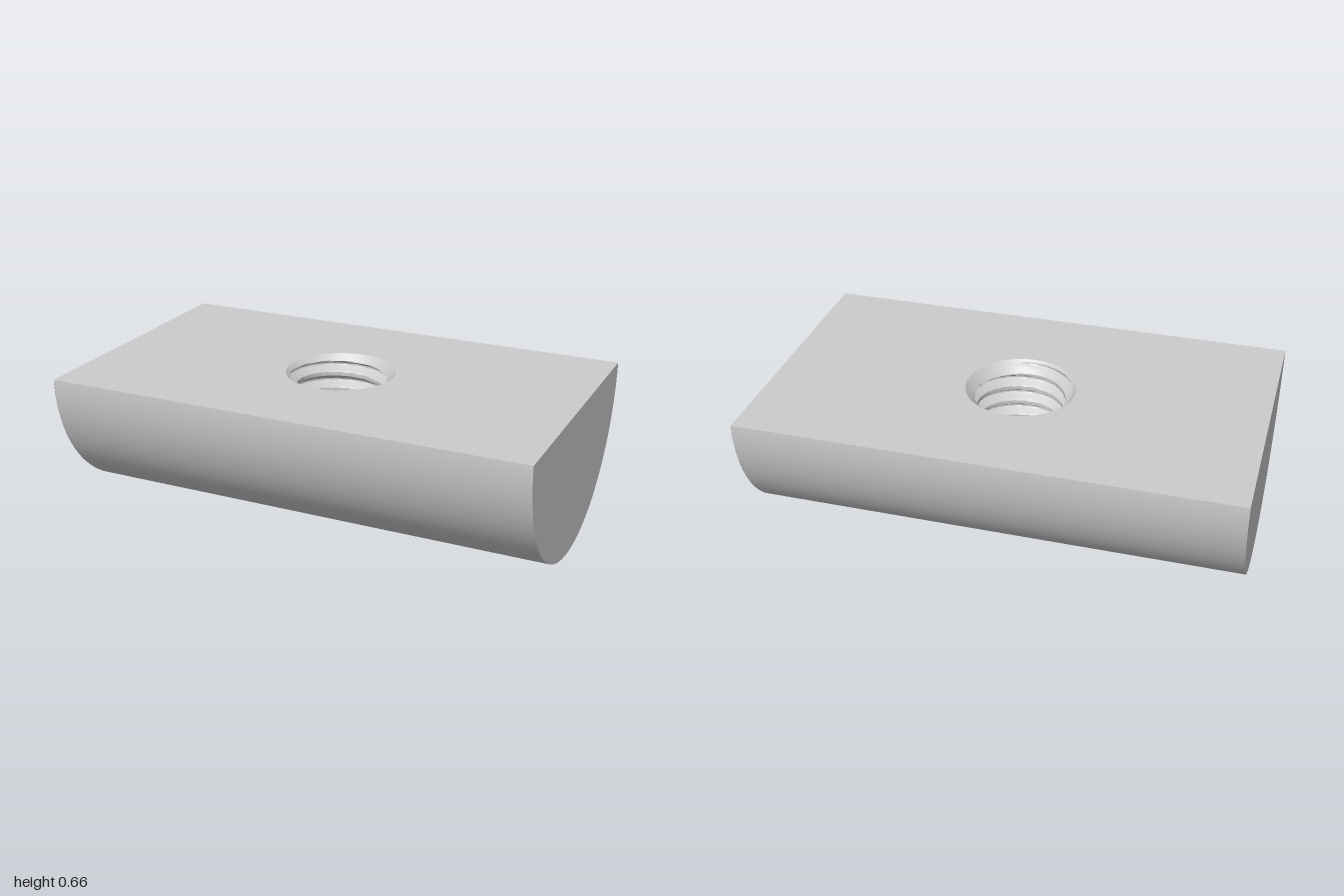
import * as THREE from 'three';
import { toCreasedNormals } from 'three/addons/utils/BufferGeometryUtils.js';

const R = 0.585, AXIS_Y = 0.645, TOP = 0.66, HALF = 1;
const MINOR = 0.18, MAJOR = 0.216, PITCH = 0.07;
const PHI_MAX = Math.PI / 2 + Math.asin((TOP - AXIS_Y) / R);
const EDGE = 32; // samples per quarter turn

// Radius of the threaded bore: right-hand helix with a countersink at both mouths
function boreRadius(t, y) {
  const turn = y / PITCH + t / (2 * Math.PI);
  const d = Math.abs(turn - Math.floor(turn) - 0.5) * 2; // 0 at groove, 1 at crest
  const groove = 1 - THREE.MathUtils.clamp((d - 0.12) / 0.63, 0, 1);
  const thread = MINOR + (MAJOR - MINOR) * groove;
  return Math.max(thread, 0.225 - (TOP - y), 0.215 - (y - 0.06) * 0.6);
}

// Where the bore breaks through the round underside
function mouth(t) {
  let y = 0.06, r = 0.2;
  for (let i = 0; i < 25; i++) {
    r = (r + boreRadius(t, y)) / 2;
    y = AXIS_Y - Math.sqrt(R * R - (r * Math.sin(t)) ** 2);
  }
  return { r, y };
}

// Grid surface from a function of column and row
function grid(cols, rows, point) {
  const pos = [], idx = [];
  for (let j = 0; j <= rows; j++) for (let i = 0; i <= cols; i++) pos.push(...point(i, j));
  const w = cols + 1;
  for (let j = 0; j < rows; j++) for (let i = 0; i < cols; i++) {
    const a = j * w + i, b = a + 1, c = a + w, d = c + 1;
    idx.push(a, b, c, b, d, c);
  }
  const g = new THREE.BufferGeometry();
  g.setAttribute('position', new THREE.Float32BufferAttribute(pos, 3));
  g.setIndex(idx);
  g.computeVertexNormals();
  return g;
}

export function createModel() {
  const group = new THREE.Group();
  const mat = new THREE.MeshStandardMaterial({ color: 0xcccccc, side: THREE.DoubleSide });
  const add = (name, geo) => {
    const m = new THREE.Mesh(geo, mat);
    m.name = name;
    group.add(m);
    return m;
  };
  const cols = EDGE * 4;
  const angle = i => -Math.PI / 4 + ((i % cols) / cols) * Math.PI * 2;

  // Round underside, spread from the bore mouth out to the rectangular border
  const rows = 28;
  const mouths = Array.from({ length: cols }, (_, i) => mouth(angle(i)));
  const underside = grid(cols, rows, (i, j) => {
    const t = angle(i), { r } = mouths[i % cols], c = Math.cos(t), s = Math.sin(t);
    const m = Math.max(Math.abs(c), Math.abs(s)), k = j / rows;
    const x = THREE.MathUtils.lerp(r * c, HALF * c / m, k);
    const phi = THREE.MathUtils.lerp(Math.asin(r * s / R), PHI_MAX * s / m, k);
    return [x, AXIS_Y - R * Math.cos(phi), R * Math.sin(phi)];
  });
  const p = underside.attributes.position, n = underside.attributes.normal;
  for (let i = 0; i < p.count; i++) n.setXYZ(i, 0, (p.getY(i) - AXIS_Y) / R, p.getZ(i) / R);
  add('roundUnderside', underside);

  // Threaded bore wall, facing the bore axis
  const levels = 150;
  const bore = grid(cols, levels, (i, j) => {
    const t = angle(i), y = THREE.MathUtils.lerp(mouths[i % cols].y, TOP, j / levels);
    const r = j === 0 ? mouths[i % cols].r : boreRadius(t, y);
    return [r * Math.cos(t), y, r * Math.sin(t)];
  });
  add('threadedBore', toCreasedNormals(bore, 0.5));

  // Flat top with the bore opening
  const halfZ = R * Math.sin(PHI_MAX);
  const plate = new THREE.Shape([[-HALF, -halfZ], [HALF, -halfZ], [HALF, halfZ], [-HALF, halfZ]]
    .map(([x, y]) => new THREE.Vector2(x, y)));
  const opening = new THREE.Path();
  opening.absarc(0, 0, 0.225, 0, Math.PI * 2, true);
  plate.holes.push(opening);
  const top = new THREE.ShapeGeometry(plate, 64).rotateX(-Math.PI / 2).translate(0, TOP, 0);
  add('flatTop', top);

  // Half-round end faces
  const profile = new THREE.Shape();
  profile.absarc(0, AXIS_Y, R, -Math.PI / 2 - PHI_MAX, -Math.PI / 2 + PHI_MAX, false);
  for (const side of [-1, 1]) {
    const end = new THREE.ShapeGeometry(profile, 64).rotateY(side * Math.PI / 2).translate(side * HALF, 0, 0);
    add(side > 0 ? 'leftEnd' : 'rightEnd', end);
  }

  // Spring ball protruding from the underside
  const ballR = 0.155, cap = 1.14;
  add('springBall', new THREE.SphereGeometry(ballR, 40, 16, 0, Math.PI * 2, Math.PI - cap, cap))
    .position.set(0.787, ballR, 0);

  return group;
}
